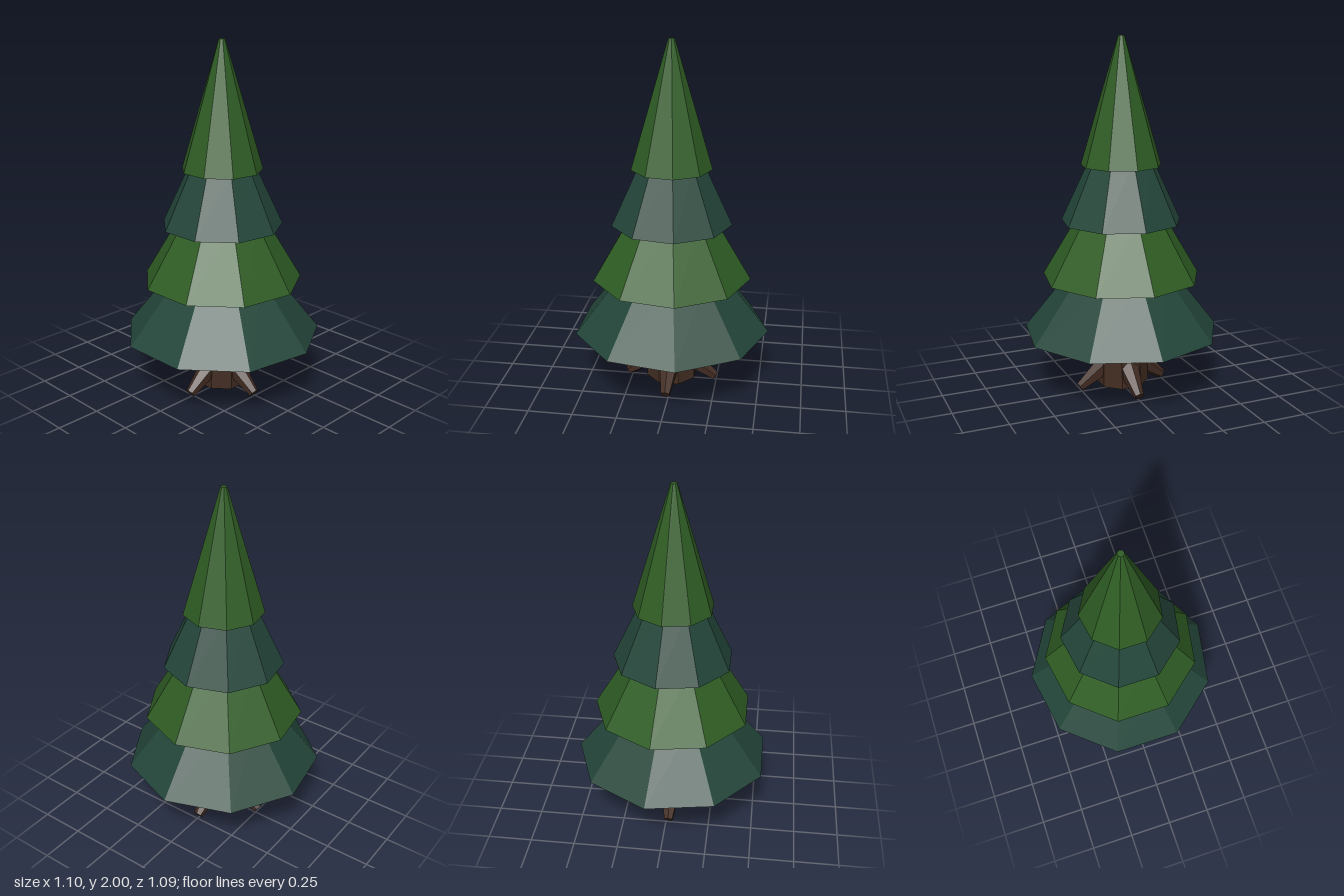
import * as THREE from 'three';

const pine = new THREE.MeshStandardMaterial({ name: 'pine green', color: 0x2f5d24, flatShading: true });
const teal = new THREE.MeshStandardMaterial({ name: 'teal green', color: 0x24463a, flatShading: true });
const bark = new THREE.MeshStandardMaterial({ name: 'bark brown', color: 0x432d23, flatShading: true });

// Closed, tapered prism standing between two heights
function taper(name, material, sides, rBottom, rTop, yBottom, yTop, start) {
  const geometry = new THREE.CylinderGeometry(rTop, rBottom, yTop - yBottom, sides, 1, false, start);
  const mesh = new THREE.Mesh(geometry, material);
  mesh.name = name;
  mesh.position.y = (yBottom + yTop) / 2;
  return mesh;
}

// Six-sided root sloping out of the trunk along +x, ridge on top
function makeRoot() {
  const from = new THREE.Vector2(0.08, 0.155);
  const to = new THREE.Vector2(0.257, 0.024);
  const dir = to.clone().sub(from);
  const geometry = new THREE.CylinderGeometry(0.028, 0.066, dir.length(), 6, 1, false, Math.PI / 6);
  geometry.rotateZ(dir.angle() - Math.PI / 2);
  geometry.translate((from.x + to.x) / 2, (from.y + to.y) / 2, 0);
  return geometry;
}

export function createModel() {
  const model = new THREE.Group();
  model.name = 'pineTree';
  const tree = new THREE.Group();
  tree.name = 'tree';
  tree.position.z = 0.015;
  model.add(tree);

  // Slightly leaning octagonal trunk
  const trunk = taper('trunk', bark, 8, 0.151, 0.133, 0.03, 0.4, Math.PI / 8);
  trunk.rotation.z = -0.04;
  tree.add(trunk);

  // Four roots
  const rootGeometry = makeRoot();
  for (let i = 0; i < 4; i++) {
    const root = new THREE.Mesh(rootGeometry, bark);
    root.name = 'root' + (i + 1);
    root.rotation.y = i * Math.PI / 2;
    tree.add(root);
  }

  // Nine-sided foliage tiers, each tucked into the one above
  const tiers = [
    ['bottomFoliage', teal, 0.56, 0.27, 0.34, 0.71],
    ['lowerFoliage', pine, 0.45, 0.23, 0.66, 1.03],
    ['upperFoliage', teal, 0.34, 0.172, 0.98, 1.34],
    ['topFoliage', pine, 0.227, 0.018, 1.295, 2.0],
  ];
  for (const [name, material, rBottom, rTop, yBottom, yTop] of tiers) {
    tree.add(taper(name, material, 9, rBottom, rTop, yBottom, yTop, Math.PI));
  }
  return model;
}
